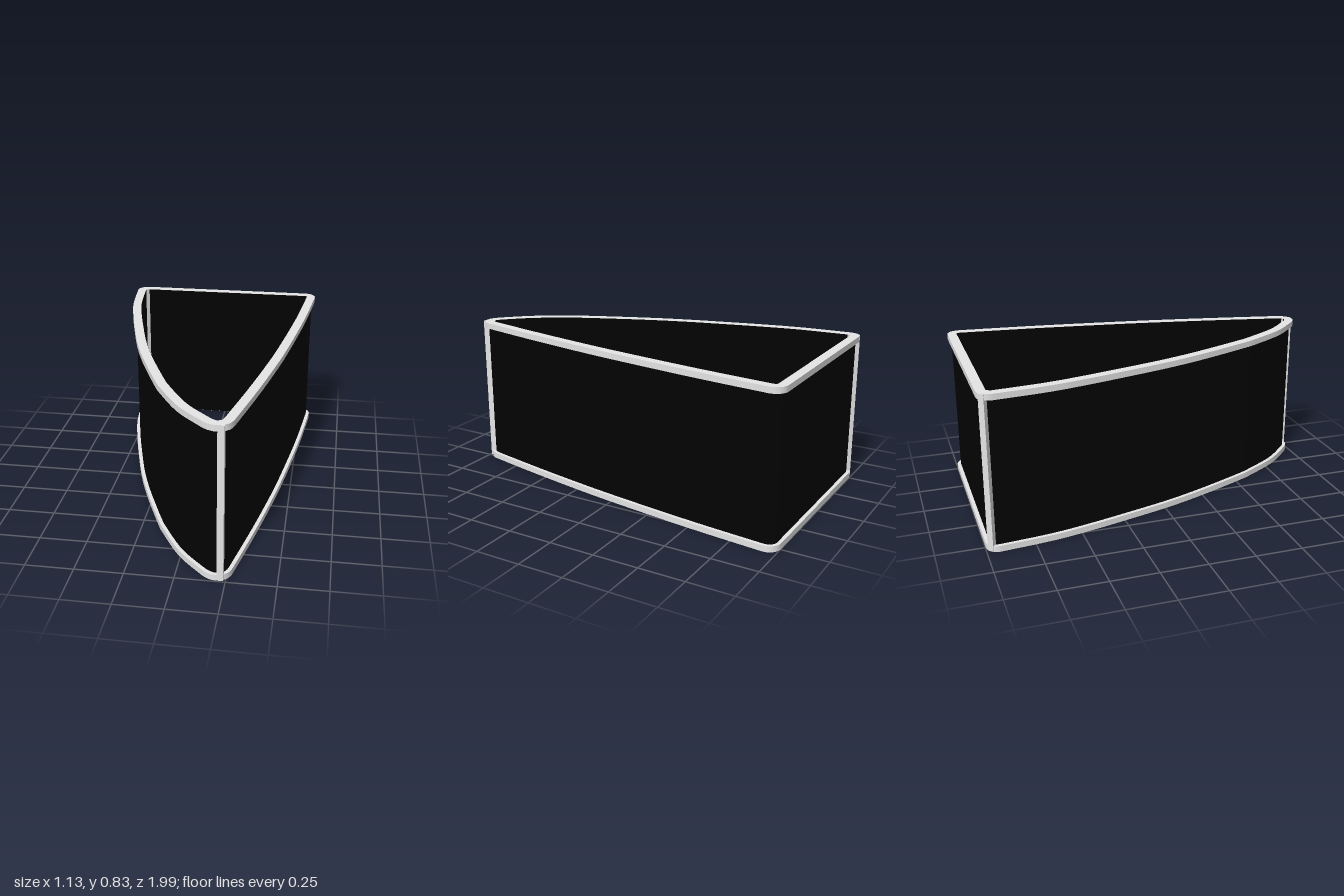
import * as THREE from 'three';
import { toCreasedNormals } from 'three/addons/utils/BufferGeometryUtils.js';

const HEIGHT = 0.83, RIM = 0.032, RIM_WIDTH = 0.05, WALL = 0.03;

// Inner outline in plan: x and z, counter-clockwise from the back edge
function innerOutline() {
  const v = (x, z) => new THREE.Vector2(x, z);
  const path = new THREE.Path();
  path.moveTo(-0.498, -0.948);
  path.lineTo(0.494, -0.951);
  path.quadraticCurveTo(0.514, -0.951, 0.512, -0.93);
  path.splineThru([v(0.4685, -0.5), v(0.401, 0), v(0.351, 0.3), v(0.294, 0.6), v(0.229, 0.91)]);
  path.quadraticCurveTo(0.217, 0.973, 0.16, 0.917);
  path.splineThru([v(0.033, 0.78), v(-0.077, 0.6), v(-0.127, 0.5), v(-0.243, 0.22), v(-0.32, 0), v(-0.387, -0.24), v(-0.441, -0.45), v(-0.485, -0.66), v(-0.514, -0.93)]);
  path.quadraticCurveTo(-0.516, -0.948, -0.498, -0.948);
  const points = path.getPoints(8);
  if (points[0].distanceTo(points[points.length - 1]) < 1e-5) points.pop();
  return points;
}

// Moves every outline point outward along its normal
function grow(points, distance) {
  const n = points.length;
  return points.map((p, i) => {
    const a = points[(i + n - 1) % n], b = points[(i + 1) % n];
    const t1 = p.clone().sub(a).normalize(), t2 = b.clone().sub(p).normalize();
    const t = t1.add(t2).normalize();
    return new THREE.Vector2(p.x + t.y * distance, p.y - t.x * distance);
  });
}

// Upright ring between two grown copies of the inner outline
function ring(points, inner, outer, bottom, top) {
  const shape = new THREE.Shape(grow(points, outer));
  shape.holes.push(new THREE.Path(grow(points, inner)));
  const geometry = new THREE.ExtrudeGeometry(shape, { depth: top - bottom, bevelEnabled: false });
  geometry.rotateX(Math.PI / 2).translate(0, top, 0);
  return toCreasedNormals(geometry, 0.7);
}

export function createModel() {
  const group = new THREE.Group();
  group.name = 'openContainer';
  const silver = new THREE.MeshStandardMaterial({ name: 'silver', color: 0xe6e6e6 });
  const black = new THREE.MeshStandardMaterial({ name: 'black', color: 0x030303 });

  const add = (name, geometry, material) => {
    const mesh = new THREE.Mesh(geometry, material);
    mesh.name = name;
    group.add(mesh);
    return mesh;
  };

  // Rims around the wall, which lines them on the inside; open at top and bottom
  const outline = innerOutline();
  add('bottomRim', ring(outline, 0, RIM_WIDTH, 0, RIM), silver);
  add('topRim', ring(outline, 0, RIM_WIDTH, HEIGHT - RIM, HEIGHT), silver);
  add('wall', ring(outline, -0.001, WALL, 0.001, HEIGHT - 0.001), black);

  // Posts where the wall panels meet, showing inside and out
  const posts = [
    { name: 'frontPost', x: 0.223, z: 0.9645, depth: 0.059, turn: 0 },
    { name: 'backPost', x: -0.525, z: -0.959, depth: 0.06, turn: Math.PI / 4 },
  ];
  for (const { name, x, z, depth, turn } of posts) {
    const post = add(name, new THREE.BoxGeometry(0.033, HEIGHT - 0.002, depth), silver);
    post.position.set(x, HEIGHT / 2, z);
    post.rotation.y = turn;
  }
  return group;
}
